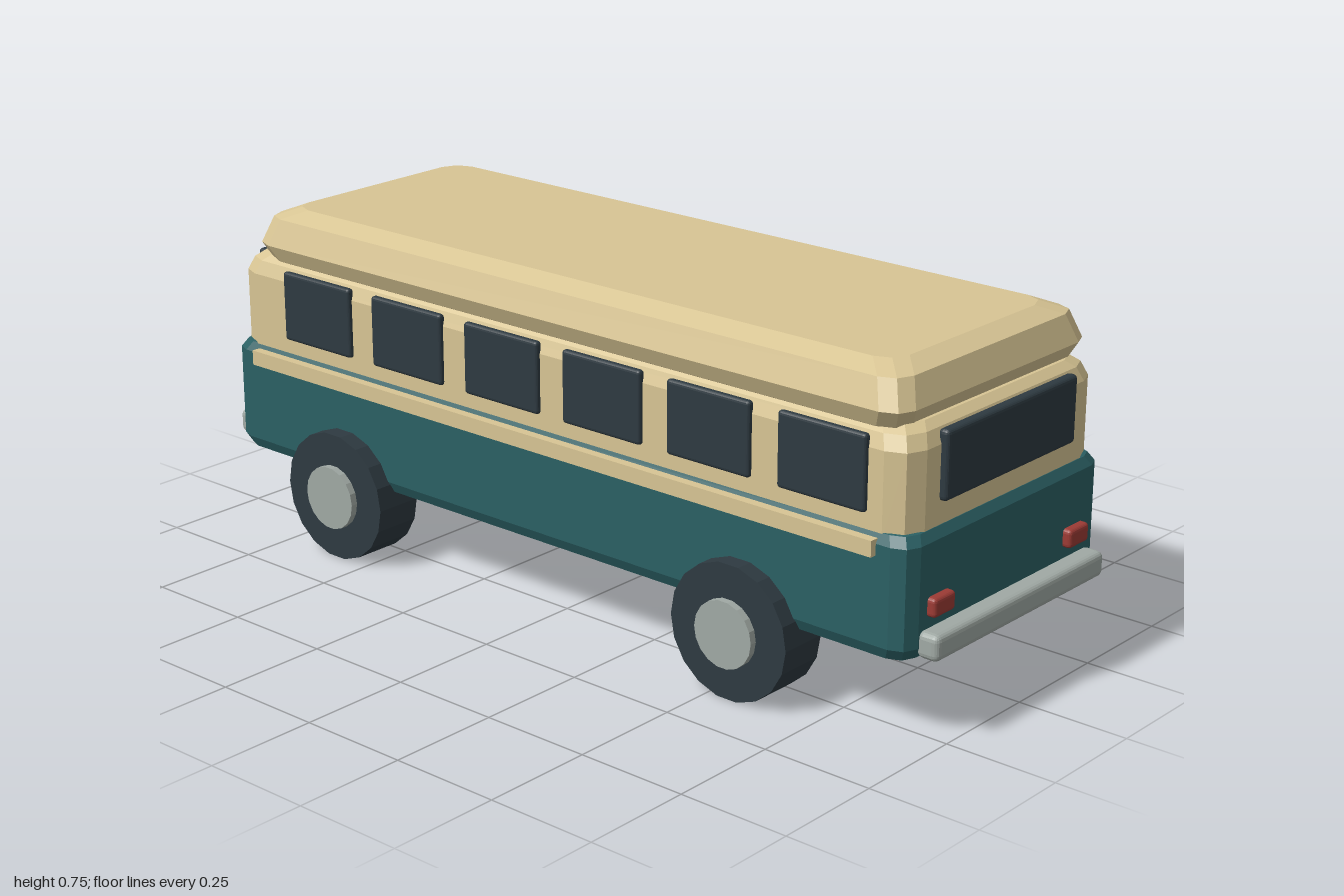
import * as THREE from 'three';
import { RoundedBoxGeometry } from 'three/addons/geometries/RoundedBoxGeometry.js';

const paint = (name, color, flatShading = false) => {
  const m = new THREE.MeshStandardMaterial({ color, flatShading });
  m.name = name;
  return m;
};

// Plan outline: a rectangle with faceted corners
function ring(hx, hz, r, y) {
  const pts = [];
  [[1, 1], [-1, 1], [-1, -1], [1, -1]].forEach(([sx, sz], q) => {
    for (let i = 0; i <= 2; i++) {
      const a = (q + i / 2) * Math.PI / 2;
      pts.push([sx * (hx - r) + r * Math.cos(a), y, sz * (hz - r) + r * Math.sin(a)]);
    }
  });
  return pts;
}

// Closed shell lofted upward through levels of [y, inset]
function shell(hx, hz, r, levels) {
  const rings = levels.map(([y, inset]) => ring(hx - inset, hz - inset, r, y));
  const n = rings[0].length, index = [];
  for (let k = 0; k < rings.length - 1; k++) {
    for (let i = 0; i < n; i++) {
      const a = k * n + i, b = k * n + (i + 1) % n;
      index.push(a, a + n, b, b, a + n, b + n);
    }
  }
  const top = (rings.length - 1) * n;
  for (let i = 1; i < n - 1; i++) {
    index.push(0, i, i + 1, top, top + i + 1, top + i);
  }
  const g = new THREE.BufferGeometry();
  g.setAttribute('position', new THREE.Float32BufferAttribute(rings.flat(2), 3));
  g.setIndex(index);
  const flat = g.toNonIndexed();
  flat.computeVertexNormals();
  return flat;
}

export function createModel() {
  const bus = new THREE.Group();
  bus.name = 'bus';
  const cream = paint('cream', 0xd8c594, true);
  const teal = paint('teal', 0x2b6064, true);
  const dark = paint('dark slate', 0x2e3a41, true);
  const metal = paint('grey metal', 0xa0a9a4, true);
  const red = paint('red', 0x9c3b35, true);

  const add = (name, geometry, material, x = 0, y = 0, z = 0) => {
    const mesh = new THREE.Mesh(geometry, material);
    mesh.name = name;
    mesh.position.set(x, y, z);
    bus.add(mesh);
    return mesh;
  };
  const block = (name, m, w, h, d, x, y, z) =>
    add(name, new THREE.BoxGeometry(w, h, d), m, x, y, z);
  const soft = (name, m, w, h, d, x, y, z, r) =>
    add(name, new RoundedBoxGeometry(w, h, d, 2, r), m, x, y, z);

  // Main shells
  add('lowerBody', shell(0.337, 0.956, 0.042, [
    [0.168, 0.04], [0.18, 0.012], [0.205, 0], [0.415, 0], [0.435, 0.012], [0.445, 0.045]]), teal);
  add('cabin', shell(0.326, 0.943, 0.058, [
    [0.42, 0], [0.6, 0], [0.63, 0.012], [0.645, 0.03]]), cream);
  add('roof', shell(0.327, 0.9025, 0.05, [
    [0.625, 0.04], [0.638, 0.018], [0.675, 0], [0.735, 0.021], [0.755, 0.066]]), cream, 0, 0, 0.0175);

  // Side windows, trim and wheels on both sides
  for (const s of [-1, 1]) {
    for (let i = 0; i < 6; i++) {
      soft('sideWindow', dark, 0.018, 0.16, 0.214, s * 0.327, 0.547, 0.742 - i * 0.283, 0.008);
    }
    block('sideTrim', cream, 0.03, 0.034, 1.755, s * 0.337, 0.408, 0.0025);
    for (const z of [0.55, -0.592]) {
      const tyre = add('tyre', new THREE.CylinderGeometry(0.148, 0.148, 0.112, 18), dark, s * 0.319, 0.148, z);
      const hub = add('hub', new THREE.CylinderGeometry(0.073, 0.073, 0.03, 18), metal, s * 0.376, 0.148, z);
      tyre.rotation.z = hub.rotation.z = Math.PI / 2;
    }
    // Lamps
    soft('tailLight', red, 0.07, 0.041, 0.03, s * 0.234, 0.283, 0.96, 0.009);
    block('headlight', cream, 0.095, 0.048, 0.025, s * 0.19, 0.302, -0.958);
    // Bumpers
    soft('bumper', metal, 0.586, 0.056, 0.052, 0, 0.212, s * 0.974, 0.014);
    // Split windscreen
    soft('windscreen', dark, 0.248, 0.172, 0.026, s * 0.126, 0.544, -0.944, 0.008);
  }

  // Rear window
  soft('rearWindow', dark, 0.446, 0.146, 0.026, 0, 0.557, 0.946, 0.01);

  // Upright door rail
  block('doorRail', dark, 0.018, 0.312, 0.016, 0.336, 0.421, -0.737);

  // Front fittings
  block('windscreenDivider', metal, 0.014, 0.175, 0.03, 0, 0.545, -0.955);
  soft('signBox', dark, 0.3, 0.03, 0.04, 0, 0.643, -0.942, 0.006);
  block('signPanel', cream, 0.2, 0.014, 0.008, 0, 0.643, -0.961);
  block('grille', dark, 0.28, 0.085, 0.025, 0, 0.32, -0.96);
  for (let i = 0; i < 3; i++) {
    block('grilleSlat', metal, 0.25, 0.007, 0.01, 0, 0.298 + i * 0.022, -0.974);
  }
  return bus;
}
